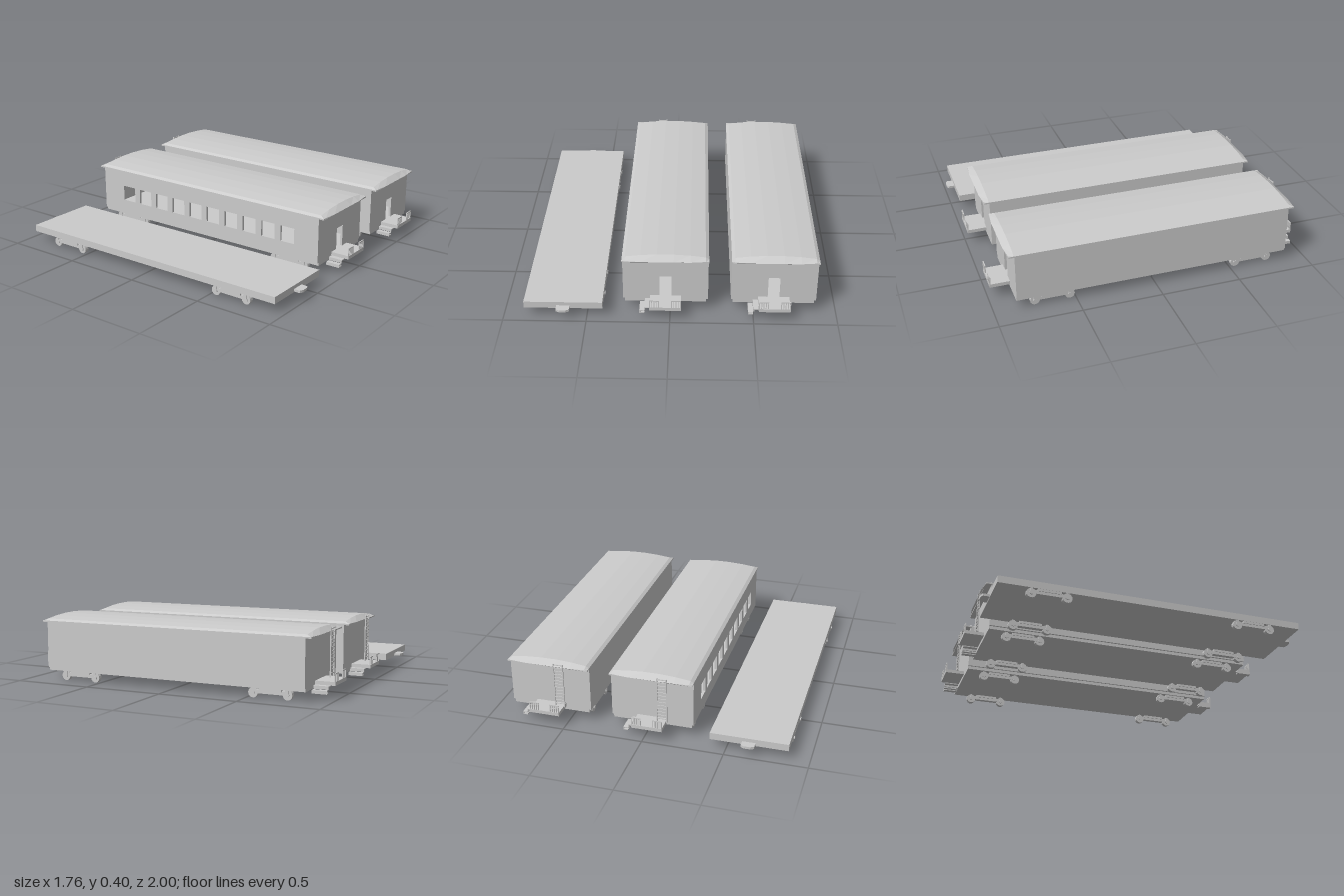
import * as THREE from 'three';

const grey = new THREE.MeshStandardMaterial({ color: 0xcccccc, flatShading: true, side: THREE.DoubleSide });

function add(parent, name, geometry) {
  const mesh = new THREE.Mesh(geometry, grey);
  mesh.name = name;
  parent.add(mesh);
  return mesh;
}

// Box given by its limits on each axis
function box(parent, name, x0, x1, y0, y1, z0, z1) {
  const mesh = add(parent, name, new THREE.BoxGeometry(x1 - x0, y1 - y0, z1 - z0));
  mesh.position.set((x0 + x1) / 2, (y0 + y1) / 2, (z0 + z1) / 2);
  return mesh;
}

function rectangle(path, x0, x1, y0, y1) {
  path.moveTo(x0, y0);
  path.lineTo(x1, y0);
  path.lineTo(x1, y1);
  path.lineTo(x0, y1);
  path.closePath();
  return path;
}

// Upright panel with rectangular openings, thickness along +z
function panel(halfWidth, y0, y1, openings, thickness) {
  const shape = rectangle(new THREE.Shape(), -halfWidth, halfWidth, y0, y1);
  for (const o of openings) shape.holes.push(rectangle(new THREE.Path(), ...o));
  return new THREE.ExtrudeGeometry(shape, { depth: thickness, bevelEnabled: false });
}

// Four two-wheeled trucks below the deck edges
function addTrucks(car) {
  for (const side of [-1, 1]) for (const end of [-1, 1]) {
    const truck = new THREE.Group();
    truck.name = 'truck';
    truck.position.set(side * 0.217, 0, end * 0.643);
    box(truck, 'truckBeam', -0.014, 0.014, 0.027, 0.05, -0.107, 0.107);
    box(truck, 'truckBolster', -0.018, 0.018, 0.045, 0.064, -0.07, 0.07);
    for (const z of [-0.107, 0.107]) {
      const wheel = add(truck, 'wheel', new THREE.CylinderGeometry(0.03, 0.03, 0.026, 14));
      wheel.rotation.z = Math.PI / 2;
      wheel.position.set(0, 0.03, z);
      const hub = add(truck, 'wheelHub', new THREE.CylinderGeometry(0.012, 0.012, 0.04, 10));
      hub.rotation.z = Math.PI / 2;
      hub.position.set(0, 0.03, z);
      box(truck, 'axleHanger', -0.018, 0.018, 0.035, 0.064, z - 0.008, z + 0.008);
    }
    car.add(truck);
  }
}

function flatCar() {
  const car = new THREE.Group();
  car.name = 'flatCar';
  box(car, 'deck', -0.236, 0.236, 0.06, 0.103, -0.95, 0.95);
  addTrucks(car);
  // Tapered couplers
  const s = new THREE.Shape();
  s.moveTo(-0.04, 0.94);
  s.lineTo(0.04, 0.94);
  s.lineTo(0.04, 0.99);
  s.lineTo(0.018, 1);
  s.lineTo(-0.018, 1);
  s.lineTo(-0.04, 0.99);
  s.closePath();
  for (const turn of [0, Math.PI]) {
    const g = new THREE.ExtrudeGeometry(s, { depth: 0.015, bevelEnabled: false });
    g.rotateX(Math.PI / 2).translate(0, 0.08, 0).rotateY(turn);
    add(car, 'coupler', g);
  }
  return car;
}

// Shallow arched roof whose ends slope down to the eaves
function roofGeometry() {
  const half = [[0.258, 0.374], [0.238, 0.386], [0.147, 0.397], [0.05, 0.403]];
  const ring = [[-0.258, 0.365], [0.258, 0.365], ...half, ...half.map(([x, y]) => [-x, y]).reverse()];
  const n = ring.length;
  const sections = [-1, -0.87, 0.87, 1].map(z => ring.map(([x, y]) => {
    const isEnd = Math.abs(z) === 1;
    const bow = Math.abs(x) < 0.2 ? 0.91 : 0.9;
    return isEnd ? [x, Math.min(y, 0.374), Math.sign(z) * bow] : [x, y, z];
  }));
  const index = [];
  for (let k = 0; k < 3; k++) for (let i = 0; i < n; i++) {
    const a = k * n + i, b = k * n + (i + 1) % n;
    index.push(a, b, b + n, a, b + n, a + n);
  }
  for (let i = 1; i < n - 1; i++) {
    index.push(0, i + 1, i, 3 * n, 3 * n + i, 3 * n + i + 1);
  }
  const g = new THREE.BufferGeometry();
  g.setAttribute('position', new THREE.Float32BufferAttribute(sections.flat(2), 3));
  g.setIndex(index);
  g.computeVertexNormals();
  return g;
}

// Entrance platform with railings and side steps
function endPlatform() {
  const end = new THREE.Group();
  end.name = 'endPlatform';
  box(end, 'platform', -0.094, 0.094, 0.08, 0.102, 0.86, 0.988);
  for (const side of [-1, 1]) {
    const x0 = side < 0 ? -0.094 : 0.036;
    box(end, 'handrail', x0, x0 + 0.058, 0.145, 0.152, 0.981, 0.987);
    for (let i = 0; i < 5; i++) {
      const x = x0 + i * 0.0133;
      box(end, 'baluster', x, x + 0.005, 0.1, 0.146, 0.981, 0.987);
    }
  }
  // Zigzag steps
  const points = [[-0.09, 0.1], [-0.125, 0.08], [-0.155, 0.058]];
  for (let i = 1; i < 3; i++) {
    const [x, y] = points[i];
    box(end, 'stepTread', x, points[i - 1][0], y - 0.006, y, 0.867, 0.958);
    box(end, 'stepRiser', x, x + 0.006, y - 0.02, y, 0.867, 0.958);
  }
  box(end, 'bottomStep', -0.155, -0.125, 0.038, 0.044, 0.867, 0.958);
  return end;
}

function closedCar(name, windowed) {
  const car = new THREE.Group();
  car.name = name;
  box(car, 'underframe', -0.245, 0.245, 0.06, 0.082, -0.865, 0.865);
  box(car, 'floor', -0.25, 0.25, 0.08, 0.086, -0.86, 0.86);

  // Side walls, with ten windows where wanted
  const windows = [];
  if (windowed) for (let i = 0; i < 10; i++) {
    const z = (i - 4.5) * 0.143;
    windows.push([z - 0.05, z + 0.05, 0.165, 0.266]);
  }
  for (const side of [-1, 1]) {
    const wall = add(car, 'sideWall', panel(0.865, 0.08, 0.37, windows, 0.015));
    wall.rotation.y = side * Math.PI / 2;
    wall.position.x = side * 0.241;
  }

  // End walls, the front one with a doorway
  add(car, 'frontWall', panel(0.25, 0.08, 0.37, [[-0.036, 0.036, 0.102, 0.24]], 0.015)).position.z = 0.85;
  add(car, 'backWall', panel(0.25, 0.08, 0.37, [], 0.015)).position.z = -0.865;

  add(car, 'roof', roofGeometry());
  addTrucks(car);
  const front = endPlatform();
  const back = endPlatform();
  back.rotation.y = Math.PI;
  car.add(front, back);

  // Ladder up to the roof at the back
  const ladder = new THREE.Group();
  ladder.name = 'ladder';
  for (const x of [-0.105, -0.046]) box(ladder, 'ladderRail', x, x + 0.006, 0.1, 0.393, -0.911, -0.904);
  for (let i = 0; i < 13; i++) {
    const y = 0.12 + i * 0.022;
    box(ladder, 'ladderRung', -0.102, -0.043, y, y + 0.005, -0.91, -0.905);
  }
  car.add(ladder);
  return car;
}

export function createModel() {
  const model = new THREE.Group();
  model.name = 'railCars';
  const flat = flatCar();
  flat.position.x = -0.64;
  const passenger = closedCar('passengerCar', true);
  passenger.position.x = -0.028;
  const baggage = closedCar('baggageCar', false);
  baggage.position.x = 0.622;
  model.add(flat, passenger, baggage);
  return model;
}
